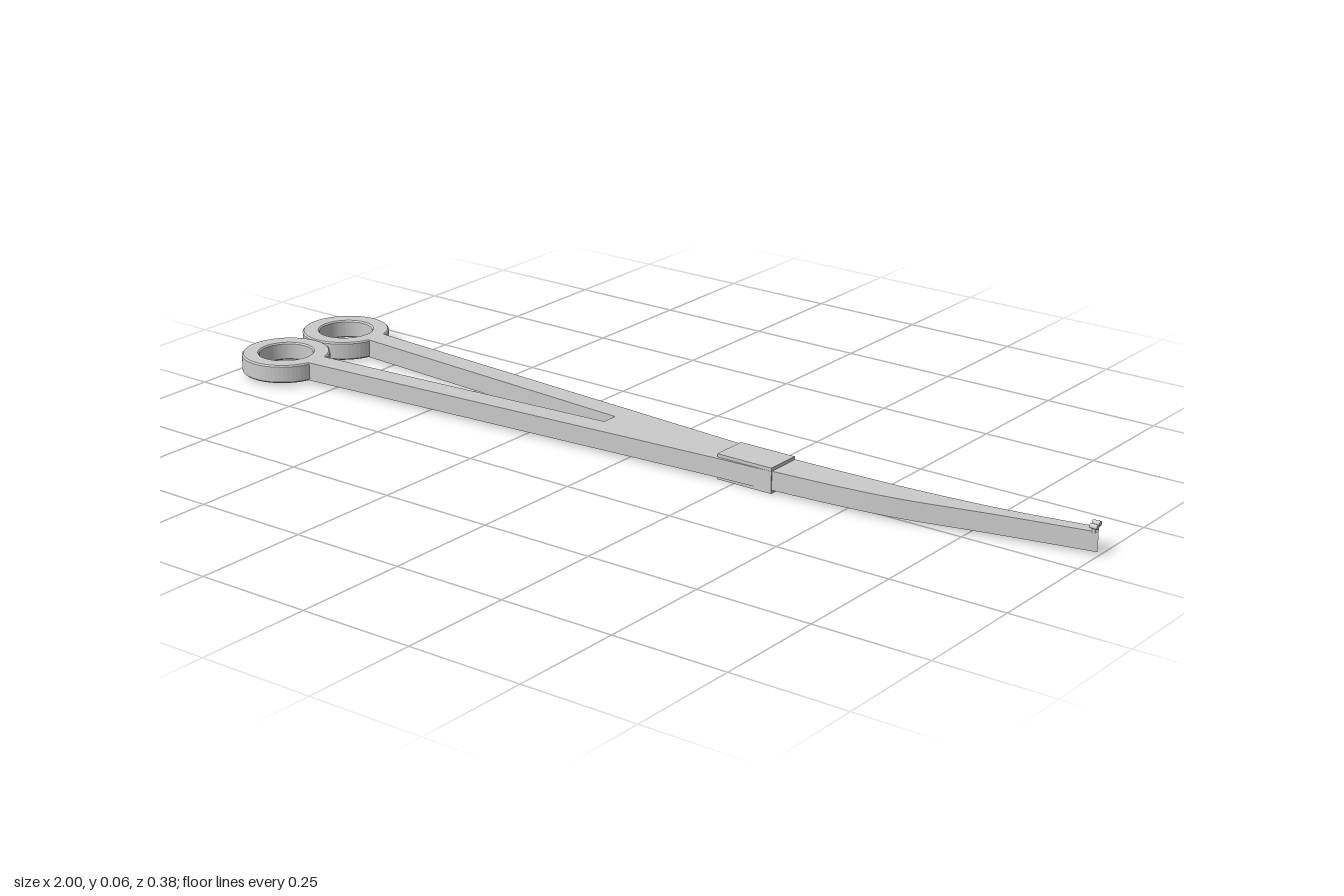
import * as THREE from 'three';

const material = new THREE.MeshStandardMaterial({ color: 0xcccccc });
const BOTTOM = 0.007, TOP = 0.047;

// Extrude an outline drawn in (x, z) into a flat bar between BOTTOM and TOP
function plate(name, shape, bevel = 0) {
  const geometry = new THREE.ExtrudeGeometry(shape, {
    depth: TOP - BOTTOM - 2 * bevel,
    bevelEnabled: bevel > 0,
    bevelThickness: bevel,
    bevelSize: bevel,
    bevelOffset: -bevel,
    bevelSegments: 1,
    curveSegments: 32,
  });
  geometry.rotateX(Math.PI / 2).translate(0, TOP - bevel, 0);
  const mesh = new THREE.Mesh(geometry, material);
  mesh.name = name;
  return mesh;
}

const vectors = (points) => points.map(([x, z]) => new THREE.Vector2(x, z));
const smooth = (points) => new THREE.SplineCurve(vectors(points)).getPoints(24);

export function createModel() {
  const group = new THREE.Group();
  group.name = 'curvedForceps';

  for (const [side, s] of [['left', 1], ['right', -1]]) {
    // Finger ring
    const ring = new THREE.Shape();
    ring.absarc(-0.905, s * 0.095, 0.095, 0, Math.PI * 2);
    const hole = new THREE.Path();
    hole.absarc(-0.905, s * 0.095, 0.058, 0, Math.PI * 2, true);
    ring.holes.push(hole);
    group.add(plate(side + 'FingerRing', ring, 0.003));

    // Shank, widening into its half of the solid middle
    const shank = new THREE.Shape(vectors([
      [-0.818, s * 0.12], [0.21, s * 0.047], [0.34, s * 0.04],
      [0.34, 0], [-0.09, 0], [-0.09, s * 0.018], [-0.818, s * 0.071],
    ]));
    group.add(plate(side + 'Shank', shank));
  }

  // Two closed jaws sharing a curved meeting line
  const backEdge = smooth([[0.34, -0.042], [0.48, -0.045], [0.62, -0.051], [0.8, -0.068], [0.985, -0.1]]);
  const meetingLine = smooth([[0.34, 0], [0.48, -0.009], [0.62, -0.022], [0.8, -0.051], [0.99, -0.088]]);
  const frontEdge = smooth([[0.34, 0.038], [0.48, 0.027], [0.62, 0.008], [0.8, -0.034], [0.998, -0.076]]);
  group.add(plate('backJaw', new THREE.Shape([...backEdge, ...meetingLine.slice().reverse()])));
  group.add(plate('frontJaw', new THREE.Shape([...meetingLine, ...frontEdge.slice().reverse()])));

  // Box joint
  const joint = new THREE.Mesh(new THREE.BoxGeometry(0.13, 0.054, 0.08), material);
  joint.name = 'boxJoint';
  joint.position.set(0.275, 0.027, 0);
  group.add(joint);

  // Hooked teeth at the tip
  for (const [x, z] of [[0.983, -0.095], [0.988, -0.076]]) {
    const tooth = new THREE.Group();
    tooth.name = 'tipTooth';
    const stem = new THREE.Mesh(new THREE.CylinderGeometry(0.003, 0.004, 0.012, 10), material);
    stem.name = 'toothStem';
    stem.position.y = 0.05;
    const point = new THREE.Mesh(new THREE.CylinderGeometry(0.005, 0.005, 0.016, 10), material);
    point.name = 'toothPoint';
    point.rotation.z = Math.PI / 2;
    point.position.y = 0.056;
    tooth.add(stem, point);
    tooth.position.set(x, 0, z);
    group.add(tooth);
  }

  return group;
}
